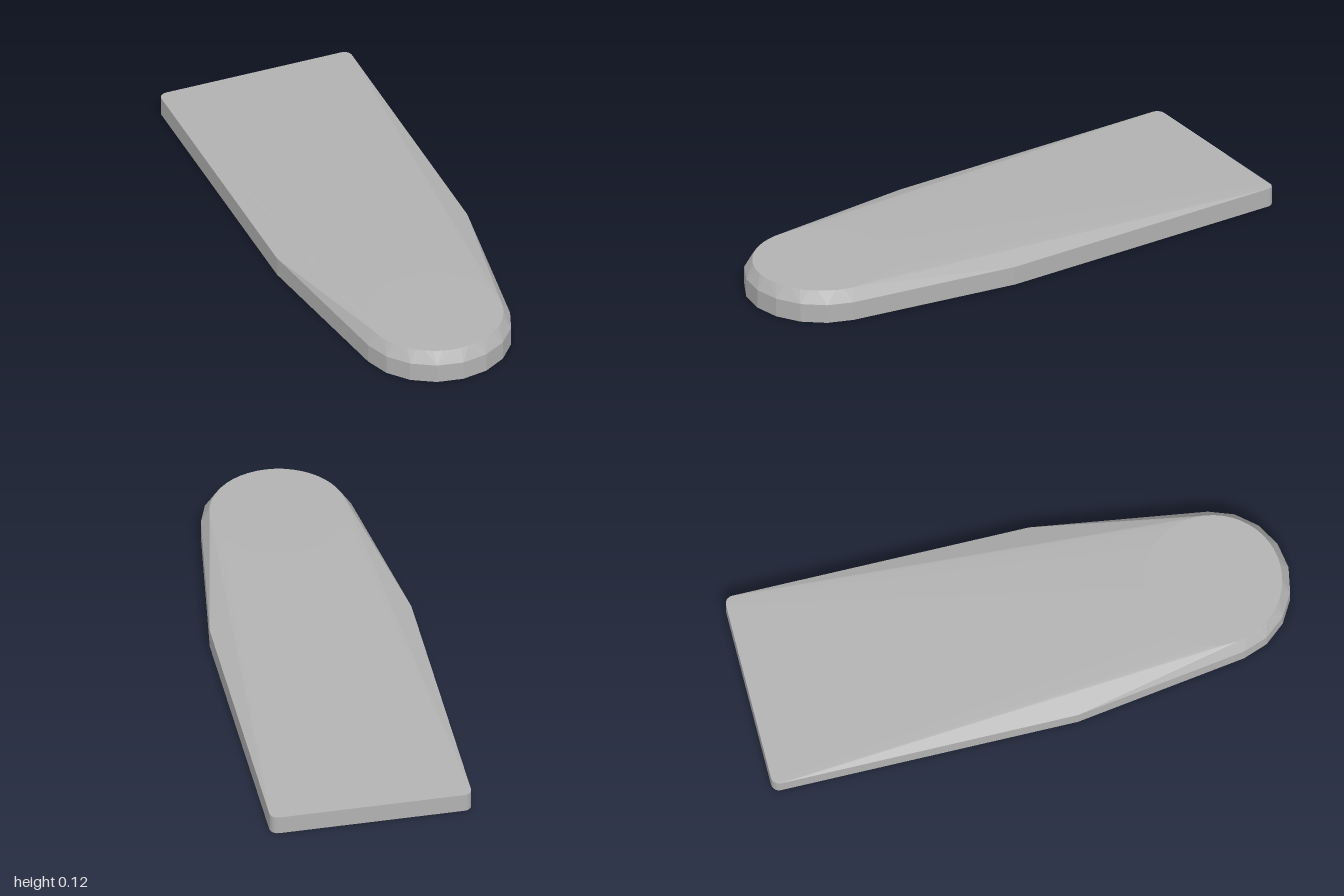
import * as THREE from 'three';
import { ConvexGeometry } from 'three/addons/geometries/ConvexGeometry.js';

const rad = THREE.MathUtils.degToRad;

// Points on a horizontal arc; 0 degrees faces +z, 90 degrees faces +x
function arc(cx, cz, r, from, to, steps) {
  return Array.from({ length: steps + 1 }, (_, i) => {
    const a = rad(from + ((to - from) * i) / steps);
    return [cx + r * Math.sin(a), cz + r * Math.cos(a)];
  });
}

export function createModel() {
  const gray = new THREE.MeshStandardMaterial({ color: 0xb2b2b2 });
  gray.name = 'gray';

  // Plan outline: faceted nose, tapering flanks, small rounded rear corners
  const outline = [
    ...arc(0, 0.72, 0.28, -80, 80, 8),
    [0.37, 0.13],
    ...arc(0.34, -0.97, 0.03, 90, 180, 5),
    ...arc(-0.34, -0.97, 0.03, 180, 270, 5),
    [-0.37, 0.13],
  ];
  // Raised round pad at the nose
  const pad = arc(0, 0.72, 0.25, 0, 352.5, 47);

  // Straight sides below, with the top sloping from the pad down to the rim
  const points = [
    ...outline.map(([x, z]) => new THREE.Vector3(x, 0, z)),
    ...outline.map(([x, z]) => new THREE.Vector3(x, 0.071, z)),
    ...pad.map(([x, z]) => new THREE.Vector3(x, 0.115, z)),
  ];

  const body = new THREE.Mesh(new ConvexGeometry(points), gray);
  body.name = 'wedgeBody';

  const model = new THREE.Group();
  model.name = 'taperedWedge';
  model.add(body);
  return model;
}
